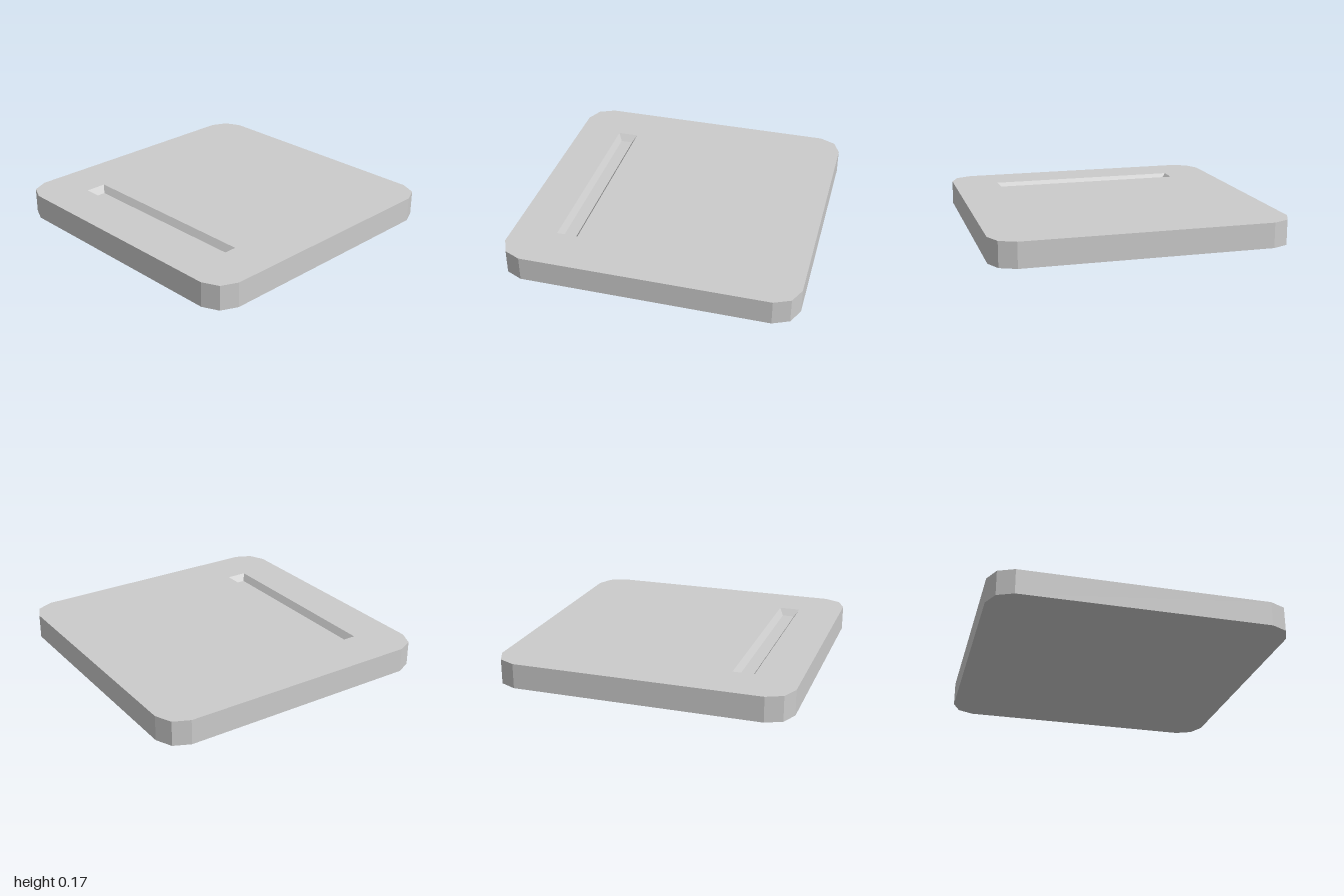
import * as THREE from 'three';

const HEIGHT = 0.17;
const material = new THREE.MeshStandardMaterial({ color: 0xcccccc, flatShading: true });

// Rectangular loop of corners, counter-clockwise from above
function rectLoop(halfX, zBack, zFront, y) {
  return [[-halfX, y, zFront], [halfX, y, zFront], [halfX, y, zBack], [-halfX, y, zBack]];
}

// Plate outline: a square whose corners are rounded in three facets
function plateShape() {
  const points = [];
  for (const [sx, sy] of [[1, 1], [-1, 1], [-1, -1], [1, -1]]) {
    const corner = [[1, 0.84], [0.95, 0.95], [0.84, 1]];
    if (sx * sy < 0) corner.reverse();
    for (const [x, y] of corner) points.push(new THREE.Vector2(sx * x, sy * y));
  }
  return new THREE.Shape(points);
}

// Flat face lying at height y; shape y becomes -z
function flatFace(shape, y, down) {
  const geometry = new THREE.ShapeGeometry(shape);
  geometry.rotateX(-Math.PI / 2);
  if (down) geometry.index.array.reverse();
  geometry.translate(0, y, 0);
  geometry.computeVertexNormals();
  return geometry;
}

// Quad strip between two matching closed loops, facing outward when lower comes first
function bridge(lower, upper) {
  const positions = [];
  lower.forEach((a, i) => {
    const j = (i + 1) % lower.length;
    const b = lower[j], c = upper[j], d = upper[i];
    positions.push(...a, ...b, ...c, ...a, ...c, ...d);
  });
  const geometry = new THREE.BufferGeometry();
  geometry.setAttribute('position', new THREE.Float32BufferAttribute(positions, 3));
  geometry.computeVertexNormals();
  return geometry;
}

export function createModel() {
  const group = new THREE.Group();
  group.name = 'slottedPlate';
  const add = (name, geometry) => {
    const mesh = new THREE.Mesh(geometry, material);
    mesh.name = name;
    group.add(mesh);
  };

  // Recess rim on the top face and its smaller, sunken floor
  const rim = rectLoop(0.675, 0.55, 0.695, HEIGHT);
  const floor = rectLoop(0.635, 0.58, 0.665, HEIGHT - 0.045);
  const toShape = ([x, , z]) => new THREE.Vector2(x, -z);

  // Plate: top with the slot opening, underside and edge
  const outline = plateShape();
  const top = plateShape();
  top.holes.push(new THREE.Path(rim.map(toShape)));
  const edge = (y) => outline.getPoints().map((p) => [p.x, y, -p.y]);
  add('plateTop', flatFace(top, HEIGHT, false));
  add('plateUnderside', flatFace(outline, 0, true));
  add('plateEdge', bridge(edge(0), edge(HEIGHT)));

  // Slot: sloping walls facing inward and a flat floor
  add('slotWalls', bridge(rim, floor));
  add('slotFloor', flatFace(new THREE.Shape(floor.map(toShape)), floor[0][1], false));

  return group;
}
